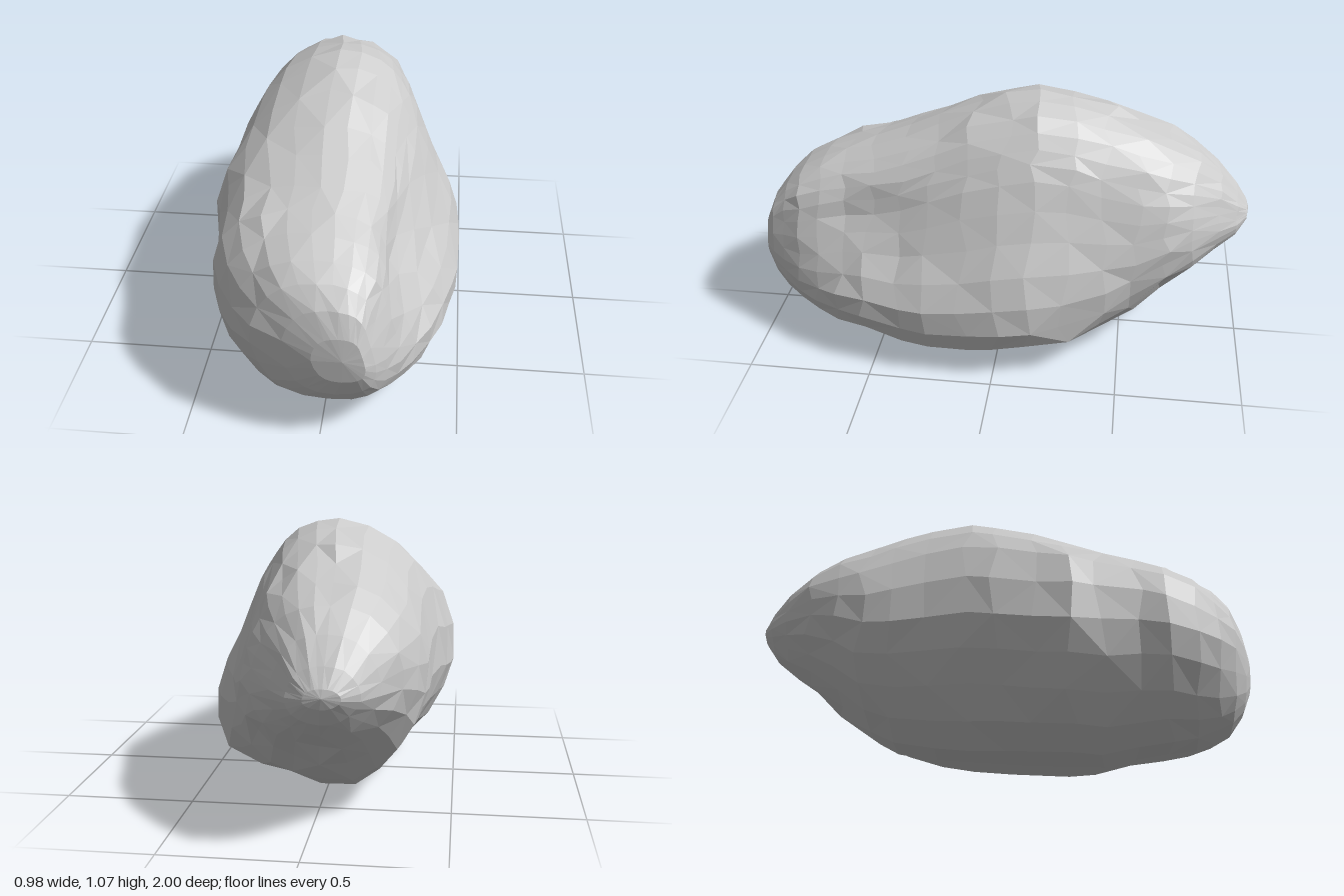
import * as THREE from 'three';

// Cross-section outlines (x, y), starting at the top and running towards +x
const NOSE = [[-.03, .7], [.1, .685], [.18, .63], [.22, .53], [.255, .4], [.275, .28], [.24, .17],
  [.12, .105], [-.1, .1], [-.24, .18], [-.33, .38], [-.29, .56], [-.18, .67]];
const FRONT = [[-.05, .8], [.11, .775], [.19, .7], [.215, .59], [.3, .46], [.4, .31], [.37, .15],
  [.17, .07], [-.15, .03], [-.34, .18], [-.43, .42], [-.39, .66], [-.23, .77]];
const MIDDLE = [[-.05, 1.06], [.12, 1.02], [.22, .92], [.285, .81], [.38, .59], [.485, .34], [.45, .13],
  [.19, .055], [-.16, .01], [-.37, .21], [-.48, .46], [-.42, .79], [-.28, .97]];
const BACK = [[-.07, .93], [.06, .91], [.17, .83], [.23, .72], [.27, .59], [.28, .45], [.22, .3],
  [.08, .2], [-.12, .18], [-.28, .3], [-.38, .5], [-.36, .7], [-.24, .88]];

// Bounds of each section: z, left x, right x, bottom y, top y
const ROWS = [
  [.99, -.02, .17, .31, .5], [.955, -.13, .205, .22, .59], [.9, -.25, .24, .145, .66],
  [.83, -.33, .285, .1, .71], [.74, -.39, .335, .065, .755], [.64, -.43, .385, .05, .79],
  [.52, -.43, .43, .035, .825], [.38, -.46, .46, .002, .875], [.26, -.49, .48, .005, .93],
  [.12, -.475, .488, .015, 1], [-.02, -.46, .488, .025, 1.045], [-.14, -.44, .475, .035, 1.07],
  [-.28, -.415, .43, .05, 1.045], [-.42, -.405, .365, .075, 1], [-.55, -.4, .31, .125, .945],
  [-.66, -.375, .265, .235, .895], [-.77, -.33, .21, .33, .835], [-.87, -.26, .12, .4, .755],
  [-.945, -.2, .055, .465, .665], [-.99, -.14, -.01, .53, .6],
];
const SIDES = 26;

// Scales an outline to the unit square
function normalise(ring) {
  const box = new THREE.Box2().setFromPoints(ring);
  const size = box.getSize(new THREE.Vector2());
  return ring.map((p) => p.clone().sub(box.min).divide(size));
}

// Smooth closed outline with evenly spread points
function resample(points) {
  const curve = new THREE.CatmullRomCurve3(
    points.map(([x, y]) => new THREE.Vector3(x, y, 0)), true, 'centripetal');
  return normalise(Array.from({ length: SIDES }, (_, i) => {
    const p = curve.getPoint(i / SIDES);
    return new THREE.Vector2(p.x, p.y);
  }));
}

function createModel() {
  const keys = [[1, NOSE], [.83, NOSE], [.6, FRONT], [.45, FRONT], [.15, MIDDLE], [-.25, MIDDLE],
    [-.6, BACK], [-1, BACK]].map(([z, outline]) => [z, resample(outline)]);

  let seed = 17;
  const jitter = (amount) => {
    seed = (seed * 16807) % 2147483647;
    return (seed / 2147483647 - .5) * amount;
  };

  // Rings of vertices from the front end to the back end, smoother at the ends
  const positions = [];
  for (const [z, x0, x1, y0, y1] of ROWS) {
    let k = 0;
    while (k < keys.length - 2 && z < keys[k + 1][0]) k++;
    const [za, a] = keys[k];
    const [zb, b] = keys[k + 1];
    const t = (za - z) / (za - zb);
    const rough = Math.min(1, (1 - Math.abs(z)) * 2.5);
    for (const p of normalise(a.map((q, j) => q.clone().lerp(b[j], t)))) {
      positions.push(
        x0 + (x1 - x0) * p.x + jitter(.008) * rough,
        Math.max(0, y0 + (y1 - y0) * p.y + jitter(.008) * rough),
        z + jitter(.05) * rough);
    }
  }

  // Skin between neighbouring rings, with alternating diagonals
  const index = [];
  for (let i = 0; i < ROWS.length - 1; i++) {
    for (let j = 0; j < SIDES; j++) {
      const n = (j + 1) % SIDES;
      const a = i * SIDES + j, b = i * SIDES + n;
      const c = a + SIDES, d = b + SIDES;
      if ((i + j) % 2) index.push(a, b, c, b, d, c);
      else index.push(a, b, d, a, d, c);
    }
  }

  // Closed ends
  const last = (ROWS.length - 1) * SIDES;
  const frontTip = positions.length / 3;
  positions.push(.09, .41, 1, -.075, .57, -1);
  for (let j = 0; j < SIDES; j++) {
    const n = (j + 1) % SIDES;
    index.push(frontTip, n, j, frontTip + 1, last + j, last + n);
  }

  const geometry = new THREE.BufferGeometry();
  geometry.setAttribute('position', new THREE.Float32BufferAttribute(positions, 3));
  geometry.setIndex(index);
  geometry.computeVertexNormals();

  const rock = new THREE.Mesh(geometry,
    new THREE.MeshStandardMaterial({ color: 0xcccccc, flatShading: true }));
  rock.name = 'rock';
  const group = new THREE.Group();
  group.name = 'boulder';
  group.add(rock);
  return group;
}

export { createModel };
